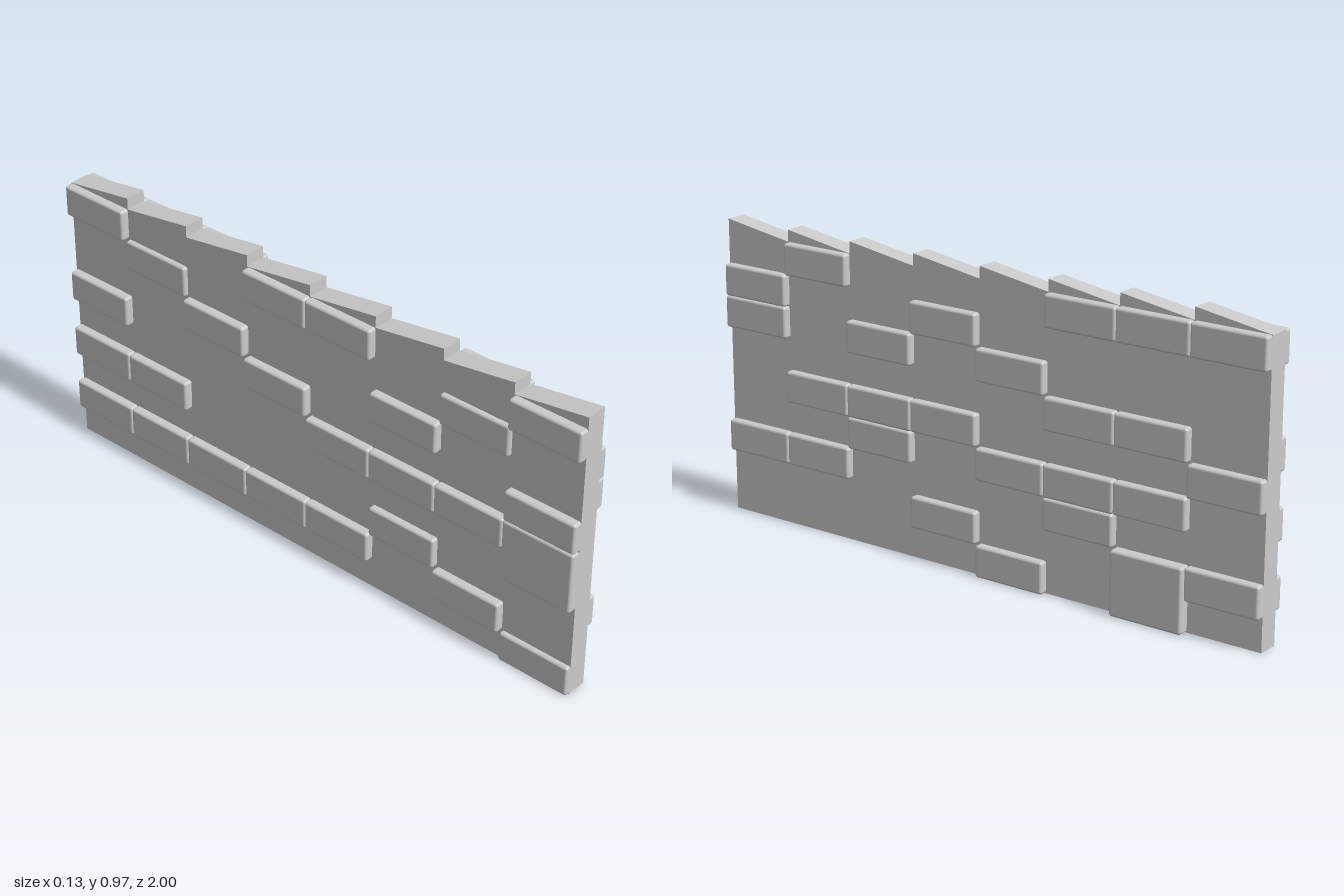
import * as THREE from 'three';
import { RoundedBoxGeometry } from 'three/addons/geometries/RoundedBoxGeometry.js';

const COLS = 8, COL = 0.25, ROW = 0.1035, TOP = 0.97;
const CORE_LEFT = 0.03, CORE_RIGHT = -0.04;

// Raised bricks as [column counted from the front, row from the ground, rows tall]
const leftBricks = [
  [1, 8], [5, 8], [6, 8], [0, 7], [3, 7], [0, 6], [2, 6], [4, 6], [5, 5], [6, 5],
  [1, 4], [2, 4], [3, 4], [7, 4], [2, 3], [4, 3], [5, 3], [6, 3],
  [0, 2], [1, 2], [5, 2], [3, 1], [7, 1], [4, 0], [6, 0, 2],
];
const rightBricks = [
  [0, 8], [3, 8], [4, 8], [1, 7], [6, 7], [2, 6], [5, 6], [0, 5], [4, 5], [7, 5],
  [1, 4], [2, 4], [3, 4], [0, 3, 2], [6, 3], [7, 3], [2, 2],
  [1, 1], [3, 1], [4, 1], [5, 1], [6, 1], [7, 1], [0, 0],
];

export function createModel() {
  const model = new THREE.Group();
  model.name = 'brickWall';
  const material = new THREE.MeshStandardMaterial({ color: 0xcccccc });

  // Core slab with a saw-tooth top, drawn in z and y
  const profile = new THREE.Shape();
  profile.moveTo(-1, 0);
  for (let i = 0; i < COLS; i++) {
    profile.lineTo(-1 + i * COL, 9 * ROW);
    profile.lineTo(-1 + (i + 1) * COL, TOP);
  }
  profile.lineTo(1, 0);
  const coreGeometry = new THREE.ExtrudeGeometry(profile, {
    depth: CORE_LEFT - CORE_RIGHT, bevelEnabled: false,
  });
  coreGeometry.rotateY(-Math.PI / 2).translate(CORE_LEFT, 0, 0);
  const core = new THREE.Mesh(coreGeometry, material);
  core.name = 'wallCore';
  model.add(core);

  // A softly rounded brick spanning x0..x1
  function addBrick(name, x0, x1, col, row, tall = 1) {
    const geometry = new RoundedBoxGeometry(x1 - x0, ROW * tall, COL, 2, 0.009);
    const brick = new THREE.Mesh(geometry, material);
    brick.position.set((x0 + x1) / 2, (row + tall / 2) * ROW, 1 - (col + 0.5) * COL);
    brick.name = name;
    model.add(brick);
  }

  for (const [col, row, tall = 1] of leftBricks) {
    addBrick('leftBrick', 0, row === 0 && tall > 1 ? 0.066 : 0.056, col, row, tall);
  }
  // Some courses stand out less than others
  const shallow = { 0: -0.056, 2: -0.063, 7: -0.056 };
  for (const [col, row, tall] of rightBricks) {
    addBrick('rightBrick', shallow[row] ?? -0.068, -0.01, col, row, tall);
  }
  // Block that passes through the wall at the upper back corner
  addBrick('cornerBrick', -0.068, 0.056, 7, 8);

  return model;
}
